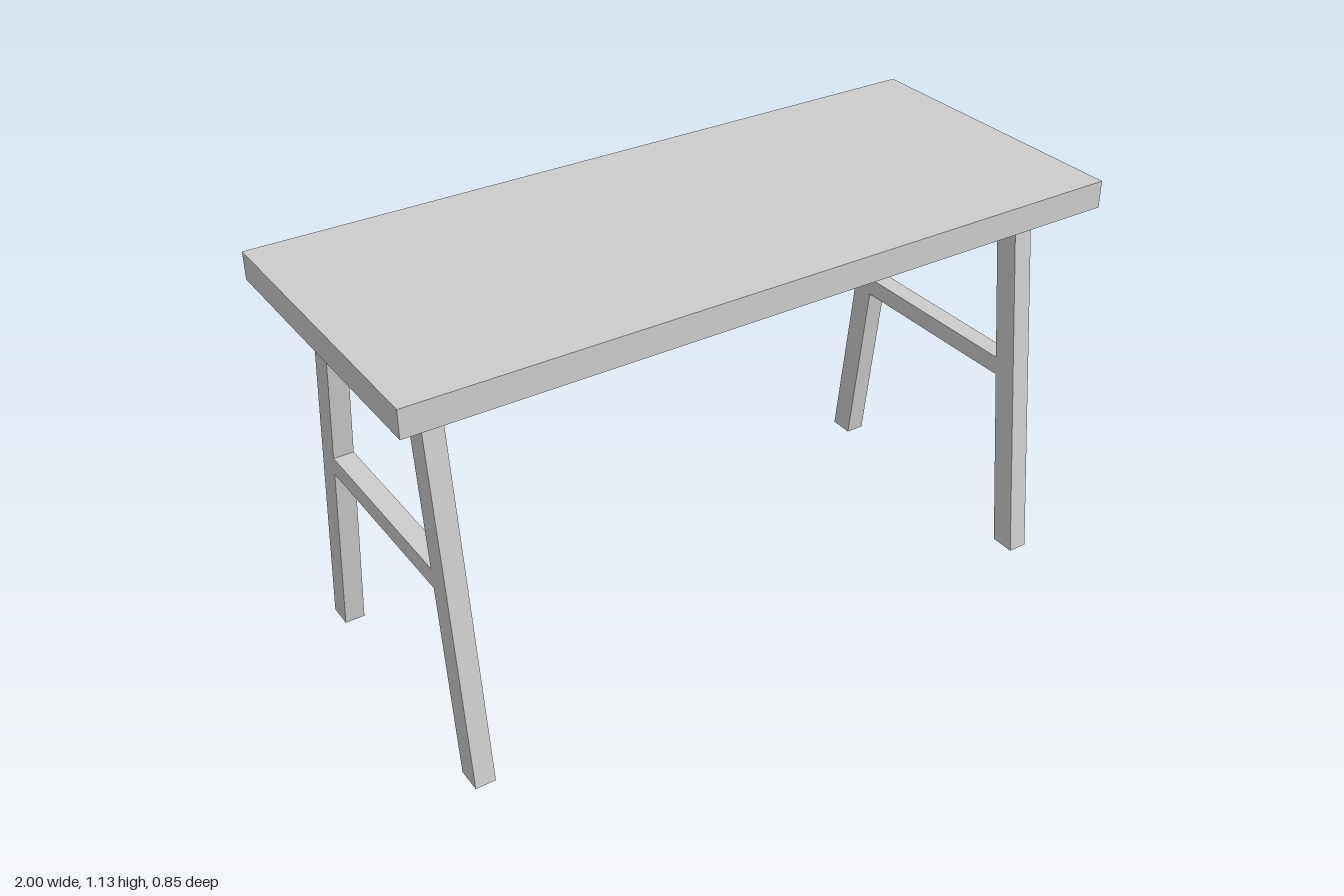
import * as THREE from 'three';

const LEG_TOP = 1.055, TOP_THICK = 0.075, TIMBER = 0.055, LEG_X = 0.8675;
const LEG_WIDTH = 0.07, FOOT_Z = 0.345, HEAD_Z = 0.215;

// Inner edge of the splayed leg at a given height
const innerZ = (y) => THREE.MathUtils.lerp(FOOT_Z, HEAD_Z, y / LEG_TOP);

// Flat timber cut from a (z, y) outline, its thickness centred on x = 0
function timber(name, points, material) {
  const shape = new THREE.Shape(points.map(([z, y]) => new THREE.Vector2(z, y)));
  const geometry = new THREE.ExtrudeGeometry(shape, { depth: TIMBER, bevelEnabled: false });
  geometry.translate(0, 0, -TIMBER / 2).rotateY(-Math.PI / 2);
  const mesh = new THREE.Mesh(geometry, material);
  mesh.name = name;
  return mesh;
}

export function createModel() {
  const material = new THREE.MeshStandardMaterial({ color: 0xcccccc });
  const table = new THREE.Group();
  table.name = 'table';

  // Tabletop slab
  const top = new THREE.Mesh(new THREE.BoxGeometry(2, TOP_THICK, 0.85), material);
  top.name = 'tabletop';
  top.position.y = LEG_TOP + TOP_THICK / 2;
  table.add(top);

  // A-shaped trestle at each end: two splayed legs and a crossbar
  for (const [side, sx] of [['left', 1], ['right', -1]]) {
    const trestle = new THREE.Group();
    trestle.name = `${side}Trestle`;
    trestle.position.x = sx * LEG_X;

    for (const [end, sz] of [['Front', 1], ['Back', -1]]) {
      trestle.add(timber(`${side}${end}Leg`, [
        [sz * FOOT_Z, 0],
        [sz * (FOOT_Z + LEG_WIDTH), 0],
        [sz * (HEAD_Z + LEG_WIDTH), LEG_TOP],
        [sz * HEAD_Z, LEG_TOP],
      ], material));
    }

    // Crossbar ends are mitred to the slope of the legs
    const low = 0.528, high = 0.58;
    trestle.add(timber(`${side}Crossbar`, [
      [-innerZ(low), low], [innerZ(low), low],
      [innerZ(high), high], [-innerZ(high), high],
    ], material));
    table.add(trestle);
  }
  return table;
}
